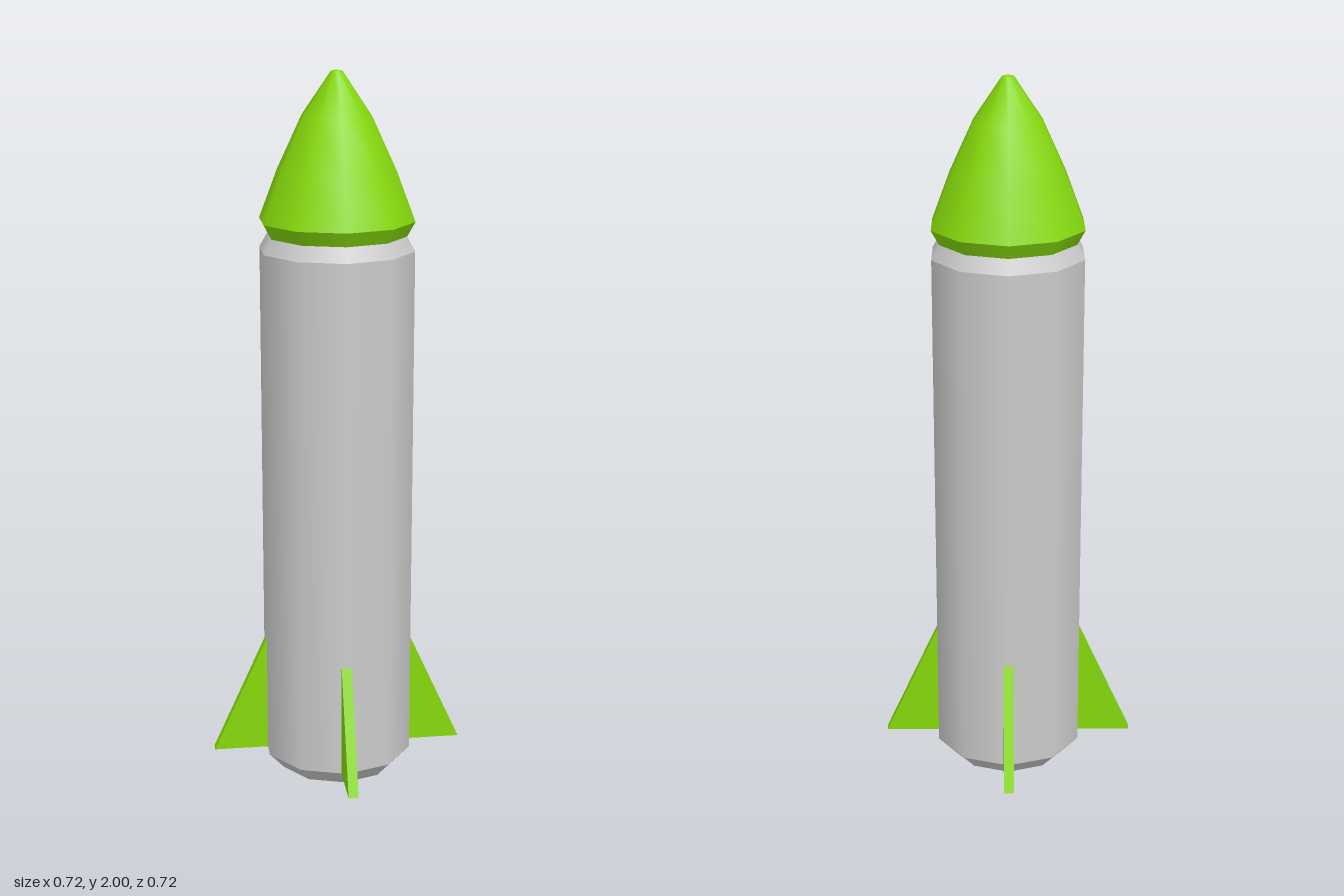
import * as THREE from 'three';

const SIDES = 10;
const R = 0.2155; // hull radius at the corners
const grey = new THREE.MeshStandardMaterial({ color: 0xcccccc });
const green = new THREE.MeshStandardMaterial({ color: 0x86d90c });

// Ten-sided ring surface; separate rings keep the edges between them sharp
function ring(name, profile, material) {
  const points = profile.map(([r, y]) => new THREE.Vector2(r, y));
  const mesh = new THREE.Mesh(new THREE.LatheGeometry(points, SIDES), material);
  mesh.name = name;
  return mesh;
}

export function createModel() {
  const model = new THREE.Group();
  model.name = 'rocket';

  // Hull: flat base, chamfer, straight tube and sloped shoulder
  const hull = new THREE.Group();
  hull.name = 'hull';
  hull.add(
    ring('basePlate', [[0, 0], [0.17, 0]], grey),
    ring('baseChamfer', [[0.17, 0], [R, 0.05]], grey),
    ring('tube', [[R, 0.05], [R, 1.52]], grey),
    ring('shoulder', [[R, 1.52], [0.193, 1.56]], grey),
  );

  // Nose cone: flared lip, curved cone and tiny blunt tip
  const nose = new THREE.Group();
  nose.name = 'noseCone';
  nose.add(
    ring('noseLip', [[0.193, 1.56], [R, 1.6]], green),
    ring('noseCurve', [[R, 1.6], [0.164, 1.735], [0.096, 1.88], [0.016, 1.997]], green),
    ring('noseTip', [[0.016, 1.997], [0, 2]], green),
  );

  // Four triangular fins, rooted inside the hull
  const shape = new THREE.Shape();
  shape.moveTo(0.17, 0.05);
  shape.lineTo(0.36, 0.05);
  shape.lineTo(0.206, 0.39);
  shape.lineTo(0.17, 0.39);
  const finGeometry = new THREE.ExtrudeGeometry(shape, { depth: 0.028, bevelEnabled: false });
  finGeometry.translate(0, 0, -0.014);
  const fins = new THREE.Group();
  fins.name = 'fins';
  for (let i = 0; i < 4; i++) {
    const fin = new THREE.Mesh(finGeometry, green);
    fin.name = 'fin';
    fin.rotation.y = (i * Math.PI) / 2;
    fins.add(fin);
  }

  model.add(hull, nose, fins);
  return model;
}
